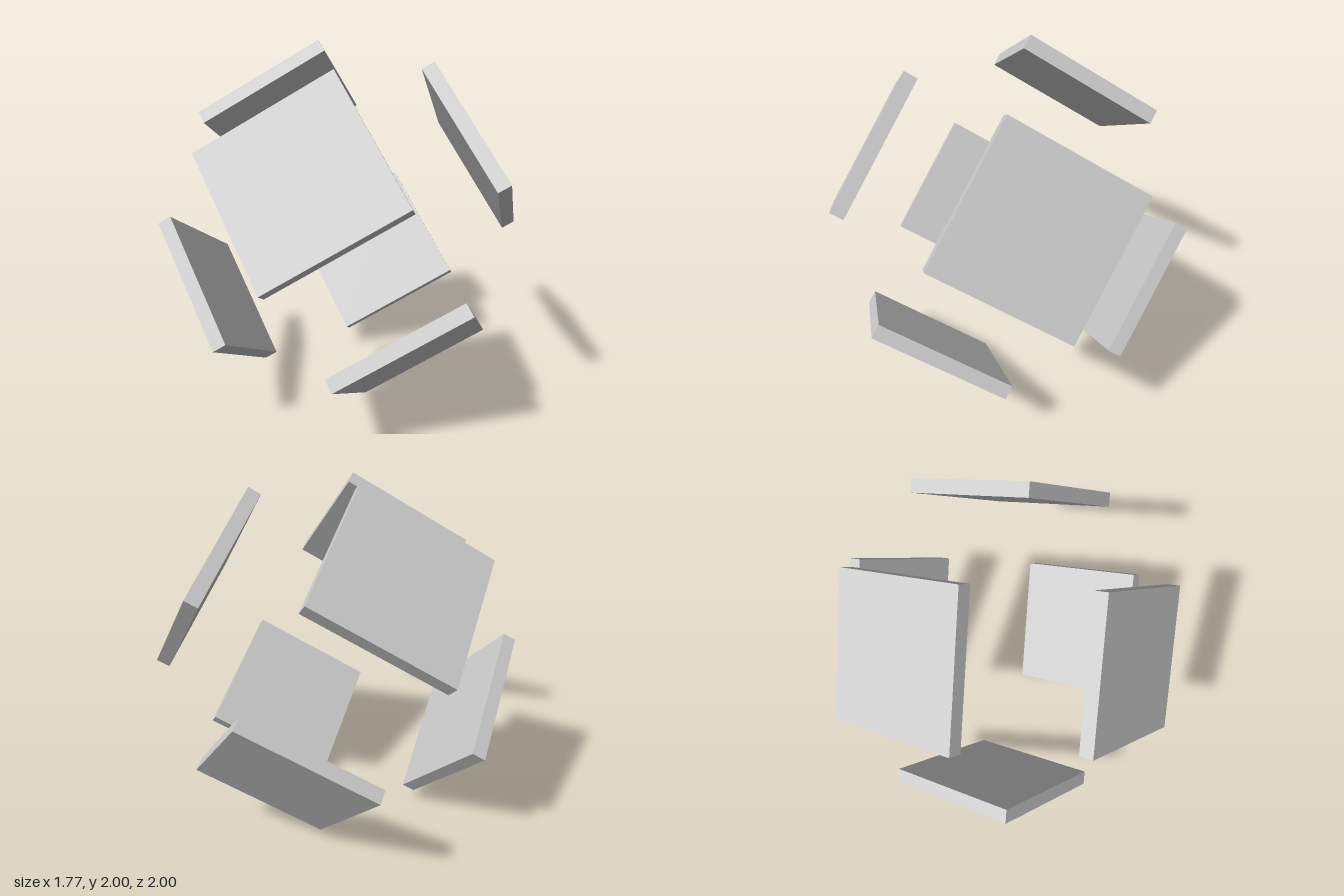
import * as THREE from 'three';

const SIDE = 0.782;      // edge length of each square plate
const THICKNESS = 0.077;
const DISTANCE = 0.823;  // plate centre to model centre

export function createModel() {
  const model = new THREE.Group();
  model.name = 'explodedCube';

  // Tilted cube frame: the plates lie on the faces of this frame
  const frame = new THREE.Group();
  frame.name = 'plates';
  const yAxis = new THREE.Vector3(0, 1, -1).normalize();
  const xAxis = new THREE.Vector3(Math.SQRT2, 1, 1).normalize();
  const zAxis = new THREE.Vector3().crossVectors(xAxis, yAxis);
  frame.quaternion.setFromRotationMatrix(new THREE.Matrix4().makeBasis(xAxis, yAxis, zAxis));
  frame.position.y = 1;
  model.add(frame);

  const material = new THREE.MeshStandardMaterial({ color: 0xcccccc, flatShading: true });

  // A pair of opposite square plates on each axis
  const pairs = [
    ['x', 'upperLeftFrontPlate', 'lowerRightBackPlate'],
    ['y', 'upperBackPlate', 'lowerFrontPlate'],
    ['z', 'upperRightFrontPlate', 'lowerLeftBackPlate'],
  ];
  for (const [axis, positiveName, negativeName] of pairs) {
    const size = new THREE.Vector3(SIDE, SIDE, SIDE);
    size[axis] = THICKNESS;
    const geometry = new THREE.BoxGeometry(size.x, size.y, size.z);
    for (const sign of [1, -1]) {
      const plate = new THREE.Mesh(geometry, material);
      plate.name = sign > 0 ? positiveName : negativeName;
      plate.position[axis] = sign * DISTANCE;
      frame.add(plate);
    }
  }

  return model;
}
